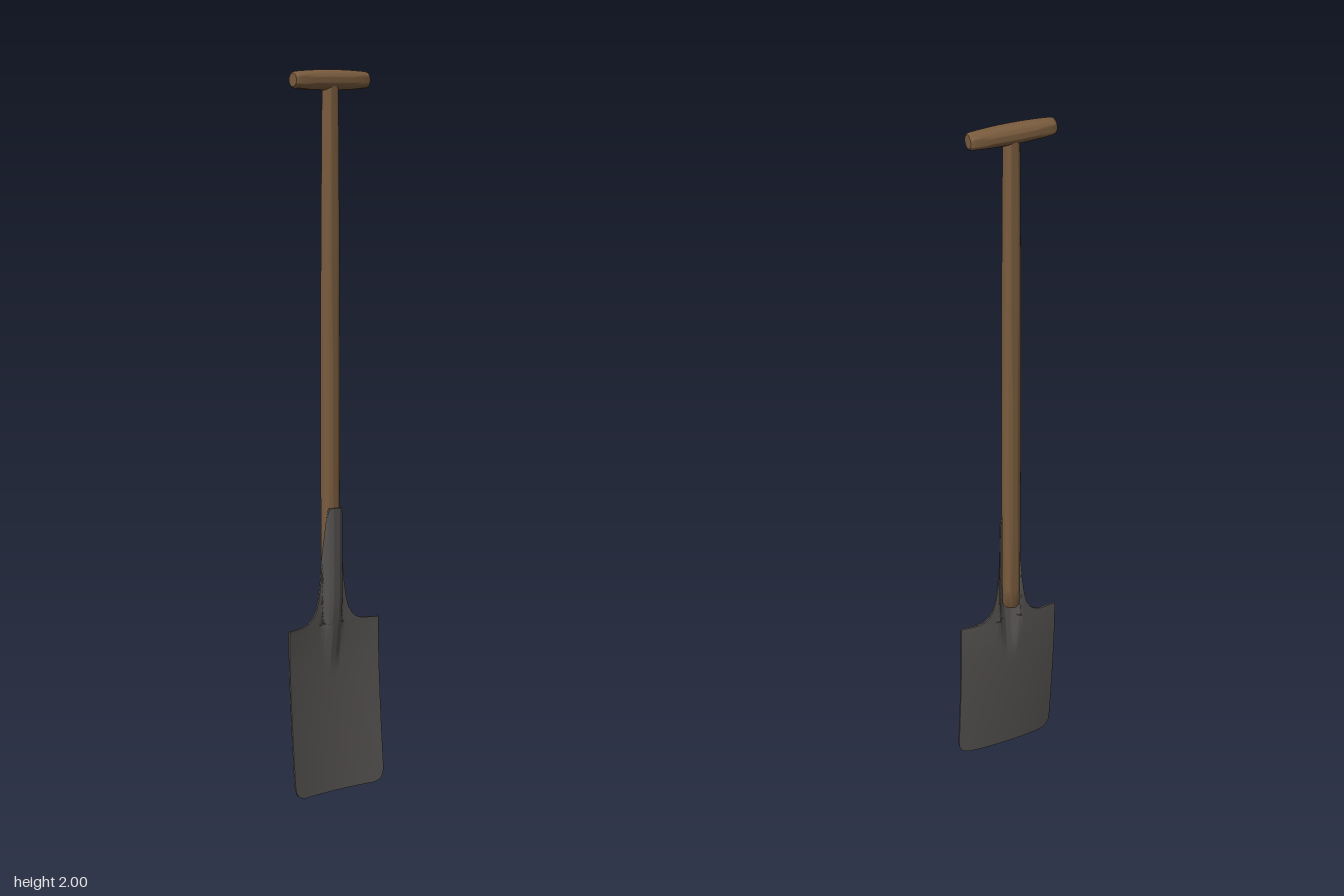
import * as THREE from 'three';
import { toCreasedNormals } from 'three/addons/utils/BufferGeometryUtils.js';

const SHAFT_Z = -0.014;

// Half width of the blade and neck, from the tip up: [y, half width]
const OUTLINE = [
  [0, 0.118], [0.004, 0.132], [0.012, 0.143], [0.025, 0.149], [0.045, 0.151],
  [0.478, 0.151], [0.481, 0.1], [0.488, 0.079], [0.5, 0.066], [0.52, 0.054],
  [0.55, 0.046], [0.6, 0.039], [0.67, 0.033], [0.75, 0.0275], [0.795, 0.024], [0.81, 0.02],
];

// Front surface: a dished, forward-swept plate blended with a half socket around the shaft
function frontZ(x, y) {
  const sweep = Math.max(0, (0.42 - y) / 0.42);
  const plate = -0.004 + 0.031 * Math.pow(sweep, 1.4) + 0.55 * x * x;
  const fade = THREE.MathUtils.smoothstep(y, 0.28, 0.56);
  const r = 0.034;
  const ridge = SHAFT_Z - 0.026 * (1 - fade) + Math.sqrt(Math.max(0, r * r - x * x));
  const k = 0.006;
  const d = plate - ridge;
  const blend = Math.max(0, k - Math.abs(d)) / k;
  return Math.max(plate, ridge) + blend * blend * k * 0.25;
}

function bladeGeometry() {
  const thick = 0.006, cols = 48;
  // Rows, with long spans subdivided
  const rows = [];
  OUTLINE.forEach(([y, w], i) => {
    if (i > 0) {
      const [y0, w0] = OUTLINE[i - 1];
      const n = Math.ceil((y - y0) / 0.018);
      for (let j = 1; j < n; j++) rows.push([y0 + (y - y0) * j / n, w0 + (w - w0) * j / n]);
    }
    rows.push([y, w]);
  });
  // Each row is a closed ring: front from -x to +x, then back from +x to -x
  const pos = [], index = [];
  const ring = 2 * (cols + 1);
  for (const [y, w] of rows) {
    for (let i = 0; i < ring; i++) {
      const back = i > cols;
      const u = (back ? ring - 1 - i : i) / cols * 2 - 1;
      const x = w * Math.sign(u) * Math.pow(Math.abs(u), 1.3);
      pos.push(x, y, frontZ(x, y) - (back ? thick : 0));
    }
  }
  for (let r = 0; r < rows.length - 1; r++) {
    for (let i = 0; i < ring; i++) {
      const a = r * ring + i, b = r * ring + (i + 1) % ring;
      index.push(a, b, b + ring, a, b + ring, a + ring);
    }
  }
  // Close the cutting edge and the top of the socket
  const last = (rows.length - 1) * ring;
  for (let i = 0; i < cols; i++) {
    const f0 = i, f1 = i + 1, b0 = ring - 1 - i, b1 = ring - 2 - i;
    index.push(f0, b1, f1, f0, b0, b1);
    index.push(last + f0, last + f1, last + b1, last + f0, last + b1, last + b0);
  }
  const geo = new THREE.BufferGeometry();
  geo.setAttribute('position', new THREE.Float32BufferAttribute(pos, 3));
  geo.setIndex(index);
  return toCreasedNormals(geo, 0.8);
}

// Turned wooden part from [radius, y] points
function turned(points) {
  const geo = new THREE.LatheGeometry(points.map(([r, y]) => new THREE.Vector2(r, y)), 32);
  return toCreasedNormals(geo, 0.7);
}

export function createModel() {
  const group = new THREE.Group();
  const wood = new THREE.MeshStandardMaterial({ color: 0x7a5c3e });
  wood.name = 'wood';
  const steel = new THREE.MeshStandardMaterial({ color: 0x555250 });
  steel.name = 'darkSteel';

  const add = (name, geo, mat) => {
    const mesh = new THREE.Mesh(geo, mat);
    mesh.name = name;
    group.add(mesh);
    return mesh;
  };

  add('blade', bladeGeometry(), steel);

  // Shaft, slightly slimmer toward the grip
  const shaft = add('shaft', turned([
    [0, 0.533], [0.02, 0.533], [0.024, 0.538], [0.0255, 0.6], [0.0265, 0.9],
    [0.0265, 1.2], [0.0255, 1.5], [0.0235, 1.8], [0.022, 1.96], [0, 1.96],
  ]), wood);
  shaft.position.z = SHAFT_Z;

  // Barrel-shaped cross grip
  const half = [[0.0275, 0], [0.0272, 0.03], [0.0262, 0.06], [0.0245, 0.09],
    [0.0228, 0.112], [0.0215, 0.117], [0.018, 0.12], [0, 0.12]];
  const lower = half.slice(1).reverse().map(([r, y]) => [r, -y]);
  const grip = add('grip', turned([...lower, ...half]), wood);
  grip.rotation.z = Math.PI / 2;
  grip.position.set(0, 1.9725, SHAFT_Z);

  return group;
}
